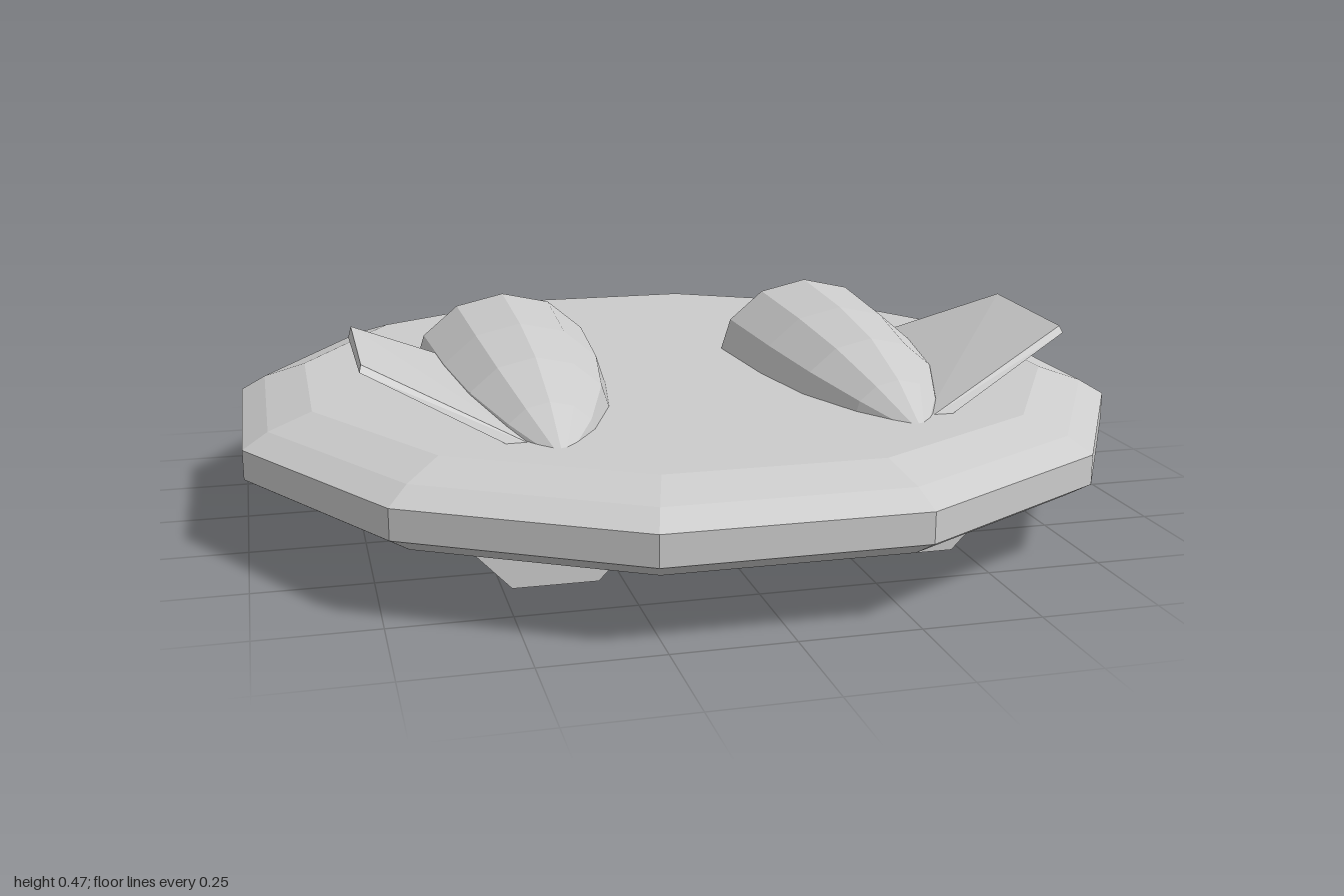
import * as THREE from 'three';
import { ConvexGeometry } from 'three/addons/geometries/ConvexGeometry.js';

const material = new THREE.MeshStandardMaterial({ color: 0xcccccc, flatShading: true });
const SIDES = 12;

function addPart(parent, name, geometry) {
  const mesh = new THREE.Mesh(geometry, material);
  mesh.name = name;
  parent.add(mesh);
  return mesh;
}

function lathe(profile) {
  return new THREE.LatheGeometry(profile.map(([r, y]) => new THREE.Vector2(r, y)), SIDES);
}

// Twelve-sided plate with bevelled rim; profile radii are measured to the flats
function discGeometry() {
  const flats = [[0, 0.1], [0.85, 0.1], [0.945, 0.135], [1, 0.17], [1, 0.235], [0.945, 0.268], [0.85, 0.3], [0, 0.3]];
  const k = 1 / Math.cos(Math.PI / SIDES);
  return lathe(flats.map(([r, y]) => [r * k, y])).rotateY(Math.PI / SIDES);
}

// Faceted teardrop lying along z, half sunk into the plate
function podGeometry() {
  const profile = [[0, -0.41], [0.15, -0.31], [0.22, -0.14], [0.2, 0.13], [0.165, 0.34], [0.1, 0.51], [0, 0.67]];
  return lathe(profile).rotateX(Math.PI / 2).scale(1, 0.84, 1);
}

// Thin upswept fin: each corner gives a top and a bottom point
function finGeometry(side) {
  const corners = [
    [0.45, 0.305, -0.075, 0.03],
    [0.757, 0.472, 0.18, 0.022],
    [0.757, 0.462, 0.5, 0.014],
    [0.41, 0.285, 0.58, 0.02],
  ];
  const points = corners.flatMap(([x, y, z, t]) => [
    new THREE.Vector3(side * x, y, z),
    new THREE.Vector3(side * (x + t * 0.3), y - t, z + 0.01),
  ]);
  return new ConvexGeometry(points);
}

// Trapezoid-section skid running front to back
function skidGeometry() {
  const points = [];
  for (const z of [-0.6, 0.6])
    for (const s of [-1, 1])
      points.push(new THREE.Vector3(s * 0.09, 0, z), new THREE.Vector3(s * 0.205, 0.12, z));
  return new ConvexGeometry(points);
}

export function createModel() {
  const model = new THREE.Group();
  model.name = 'hoverDisc';
  addPart(model, 'disc', discGeometry());

  for (const [side, label] of [[1, 'left'], [-1, 'right']]) {
    addPart(model, label + 'Pod', podGeometry()).position.set(side * 0.38, 0.28, 0);
    addPart(model, label + 'Fin', finGeometry(side));
    addPart(model, label + 'Skid', skidGeometry()).position.x = side * 0.39;
  }
  return model;
}
